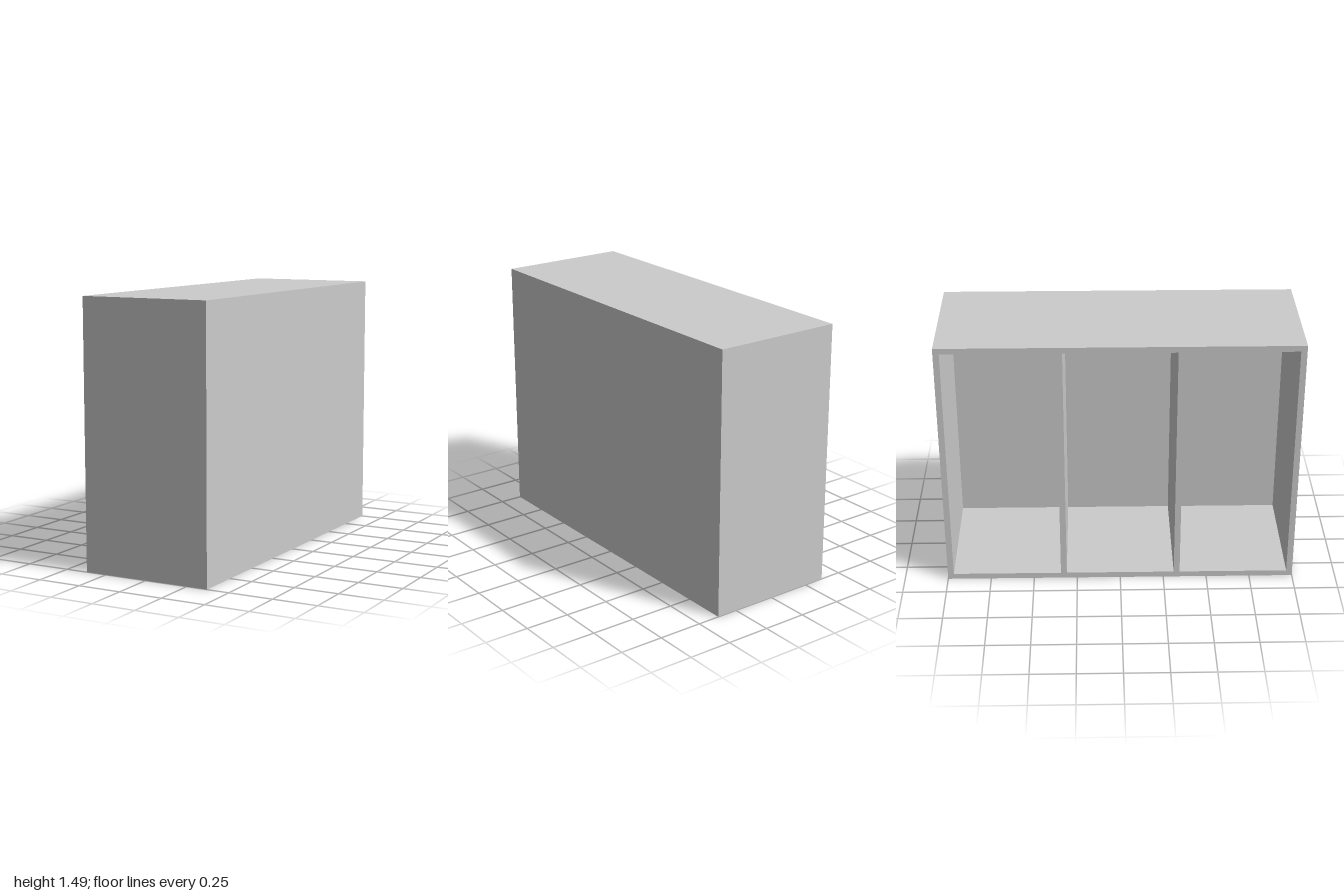
import * as THREE from 'three';

const LENGTH = 2, HEIGHT = 1.486, DEPTH = 0.743, BOARD = 0.034, BAYS = 3;

function rectangle(path, x, y, w, h) {
  path.moveTo(x, y);
  path.lineTo(x + w, y);
  path.lineTo(x + w, y + h);
  path.lineTo(x, y + h);
  path.closePath();
  return path;
}

export function createModel() {
  const group = new THREE.Group();
  group.name = 'openCabinet';
  const material = new THREE.MeshStandardMaterial({ color: 0xcccccc, flatShading: true });

  // Carcass: top, bottom, sides and dividers around equal bays open towards -x
  const outline = rectangle(new THREE.Shape(), -LENGTH / 2, 0, LENGTH, HEIGHT);
  const pitch = (LENGTH - BOARD) / BAYS;
  for (let i = 0; i < BAYS; i++) {
    outline.holes.push(rectangle(new THREE.Path(),
      -LENGTH / 2 + BOARD + i * pitch, BOARD, pitch - BOARD, HEIGHT - 2 * BOARD));
  }
  const frame = new THREE.ExtrudeGeometry(outline, { depth: DEPTH - BOARD, bevelEnabled: false });
  frame.rotateY(-Math.PI / 2);
  frame.translate(DEPTH / 2 - BOARD, 0, 0);
  const carcass = new THREE.Mesh(frame, material);
  carcass.name = 'carcass';
  group.add(carcass);

  // Closed panel on the +x side
  const backPanel = new THREE.Mesh(new THREE.BoxGeometry(BOARD, HEIGHT, LENGTH), material);
  backPanel.name = 'backPanel';
  backPanel.position.set((DEPTH - BOARD) / 2, HEIGHT / 2, 0);
  group.add(backPanel);

  return group;
}
